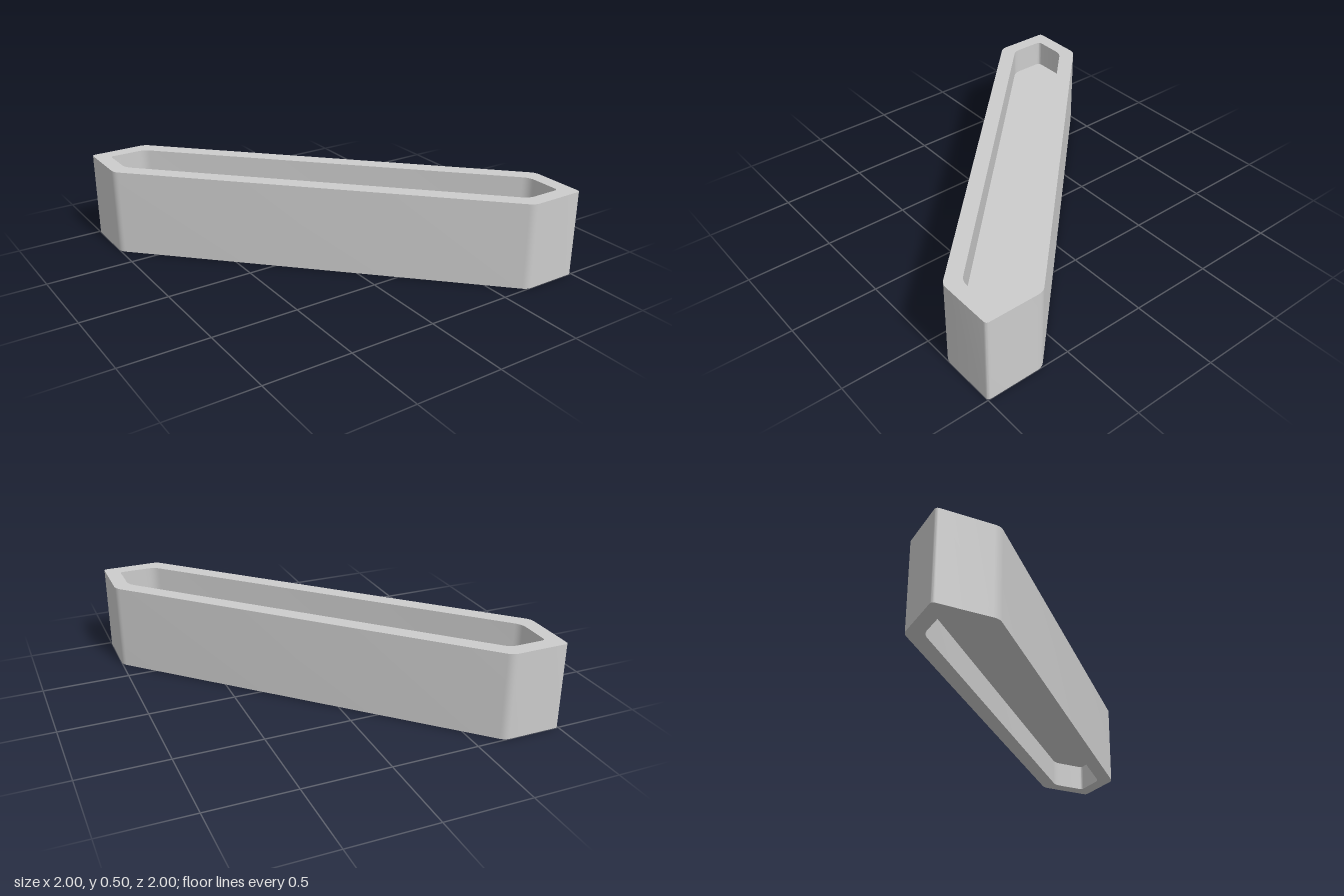
import * as THREE from 'three';
import { toCreasedNormals } from 'three/addons/utils/BufferGeometryUtils.js';

// Six-sided diagonal outline: square tips at (-e,-e) and (e,e), long edges cut at c.
// Corners are rounded; tip corners use rTip, the others rSide.
function outline(path, e, c, rTip, rSide) {
  const corners = [[e, e, rTip], [c, e, rSide], [-e, -c, rSide],
    [-e, -e, rTip], [-c, -e, rSide], [e, c, rSide]]
    .map(([x, y, r]) => ({ p: new THREE.Vector2(x, y), r }));
  const toward = (a, b, d) => b.clone().sub(a).setLength(d).add(a);
  corners.forEach(({ p, r }, i) => {
    const prev = corners[(i + 5) % 6].p, next = corners[(i + 1) % 6].p;
    const a = toward(p, prev, r), b = toward(p, next, r);
    if (i === 0) path.moveTo(a.x, a.y);
    else path.lineTo(a.x, a.y);
    path.quadraticCurveTo(p.x, p.y, b.x, b.y);
  });
  path.closePath();
  return path;
}

// Extrude a plan shape (x, z) upward between two heights
function slab(shape, bottom, top) {
  const g = new THREE.ExtrudeGeometry(shape, { depth: top - bottom, bevelEnabled: false, curveSegments: 5 });
  g.rotateX(Math.PI / 2).translate(0, top, 0);
  return toCreasedNormals(g, 0.6);
}

export function createModel() {
  const group = new THREE.Group();
  group.name = 'tray';
  const grey = new THREE.MeshStandardMaterial({ color: 0xcccccc });
  grey.name = 'light grey';

  // Thick outer wall, open above and below
  const wallShape = outline(new THREE.Shape(), 1, 0.665, 0.02, 0.03);
  wallShape.holes.push(outline(new THREE.Path(), 0.915, 0.705, 0.02, 0.04));
  const wall = new THREE.Mesh(slab(wallShape, 0, 0.5), grey);
  wall.name = 'outerWall';

  // Middle floor, let slightly into the wall
  const floorShape = outline(new THREE.Shape(), 0.925, 0.71, 0.02, 0.04);
  const floor = new THREE.Mesh(slab(floorShape, 0.16, 0.34), grey);
  floor.name = 'floor';

  group.add(wall, floor);
  return group;
}
